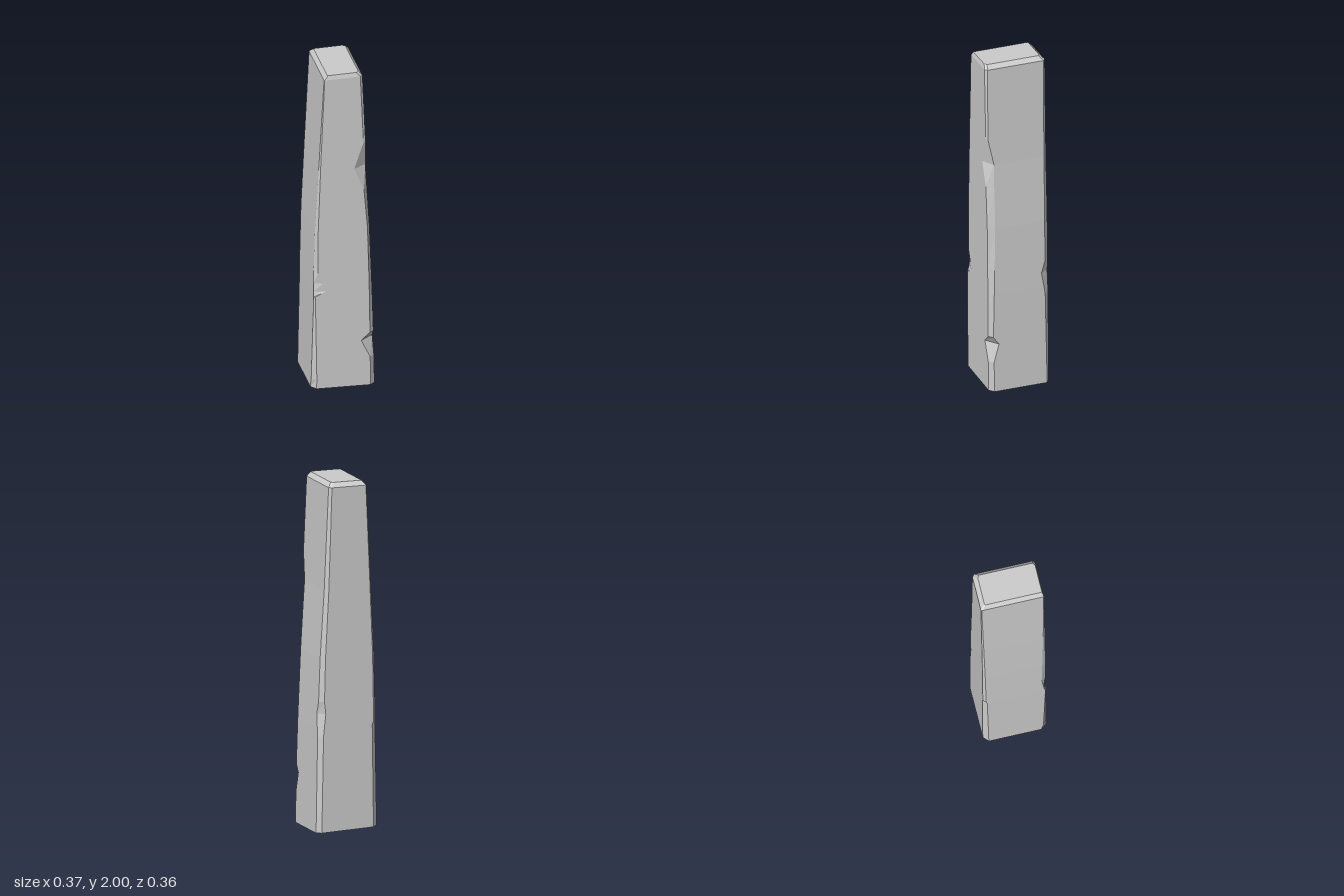
import * as THREE from 'three';

// Linear interpolation through rows of [y, value, value...]
function sample(rows, y) {
  if (y <= rows[0][0]) return rows[0].slice(1);
  for (let i = 1; i < rows.length; i++) {
    const a = rows[i - 1], b = rows[i];
    if (y <= b[0]) {
      const t = (y - a[0]) / (b[0] - a[0]);
      return a.slice(1).map((v, k) => v + (b[k + 1] - v) * t);
    }
  }
  return rows[rows.length - 1].slice(1);
}

// Side planes by height: y, left x, right x, front z, back z
const sides = [
  [0, -0.185, 0.183, 0.18, -0.183],
  [0.6, -0.172, 0.17, 0.18, -0.183],
  [1.0, -0.162, 0.157, 0.18, -0.183],
  [1.39, -0.143, 0.134, 0.18, -0.183],
  [1.975, -0.113, 0.11, 0.18, -0.183],
  [2.0, -0.093, 0.088, 0.173, -0.157],
];

// Worn corners, in order round the block, with the cut along x and z by height
const corners = [
  { sx: 1, sz: 1, cuts: [[0, 0.028, 0.025], [0.18, 0.027, 0.025], [0.29, 0.076, 0.055], [0.335, 0.025, 0.022],
    [1.0, 0.02, 0.04], [1.25, 0.026, 0.04], [1.39, 0.074, 0.042], [1.55, 0.014, 0.008], [1.975, 0.015, 0.012], [2, 0.015, 0.012]] },
  { sx: 1, sz: -1, cuts: [[0, 0.027, 0.02], [0.55, 0.025, 0.027], [0.68, 0.035, 0.048], [0.75, 0.025, 0.027],
    [1.39, 0.02, 0.02], [1.975, 0.015, 0.014], [2, 0.015, 0.01]] },
  { sx: -1, sz: -1, cuts: [[0, 0.03, 0.028], [0.6, 0.025, 0.022], [0.62, 0.016, 0.016], [1.975, 0.004, 0.004], [2, 0.004, 0.004]] },
  { sx: -1, sz: 1, cuts: [[0, 0.028, 0.033], [0.07, 0.028, 0.02], [0.6, 0.008, 0.006], [0.63, 0.07, 0.012],
    [0.75, 0.02, 0.025], [1.0, 0.014, 0.022], [1.5, 0.007, 0.01], [1.975, 0.003, 0.004], [2, 0.003, 0.004]] },
];

// Eight-cornered cross-section at height y
function ring(y) {
  const [xl, xr, zf, zb] = sample(sides, y);
  const pts = [];
  corners.forEach(({ sx, sz, cuts }, i) => {
    const [cx, cz] = sample(cuts, y);
    const X = sx > 0 ? xr : xl, Z = sz > 0 ? zf : zb;
    // the base is slightly tilted
    const h = (x) => (y === 0 ? 0.0075 - 0.0405 * x : y);
    const onSide = [X, h(X), Z - sz * cz];
    const onFace = [X - sx * cx, h(X - sx * cx), Z];
    pts.push(...(i % 2 ? [onSide, onFace] : [onFace, onSide]));
  });
  return pts;
}

export function createModel() {
  const heights = [...new Set([...sides, ...corners.flatMap((c) => c.cuts)].map((r) => r[0]))].sort((a, b) => a - b);
  const rings = heights.map(ring);
  const n = 8, top = rings.length - 1;
  const position = rings.flat(2);
  position.push(0, 0.0075, 0, 0, 2, 0);
  const bottomCentre = rings.length * n, topCentre = bottomCentre + 1;

  const index = [];
  for (let i = 0; i < n; i++) {
    const j = (i + 1) % n;
    // walls
    for (let r = 0; r < top; r++) {
      const a = r * n + i, b = r * n + j;
      index.push(a, b, b + n, a, b + n, a + n);
    }
    // end caps
    index.push(bottomCentre, j, i, topCentre, top * n + i, top * n + j);
  }

  const geometry = new THREE.BufferGeometry();
  geometry.setAttribute('position', new THREE.Float32BufferAttribute(position, 3));
  geometry.setIndex(index);
  const flat = geometry.toNonIndexed();
  flat.computeVertexNormals();

  const pillar = new THREE.Mesh(flat, new THREE.MeshStandardMaterial({ color: 0xcccccc, flatShading: true }));
  pillar.name = 'stonePillar';
  const group = new THREE.Group();
  group.name = 'pillar';
  group.add(pillar);
  return group;
}
